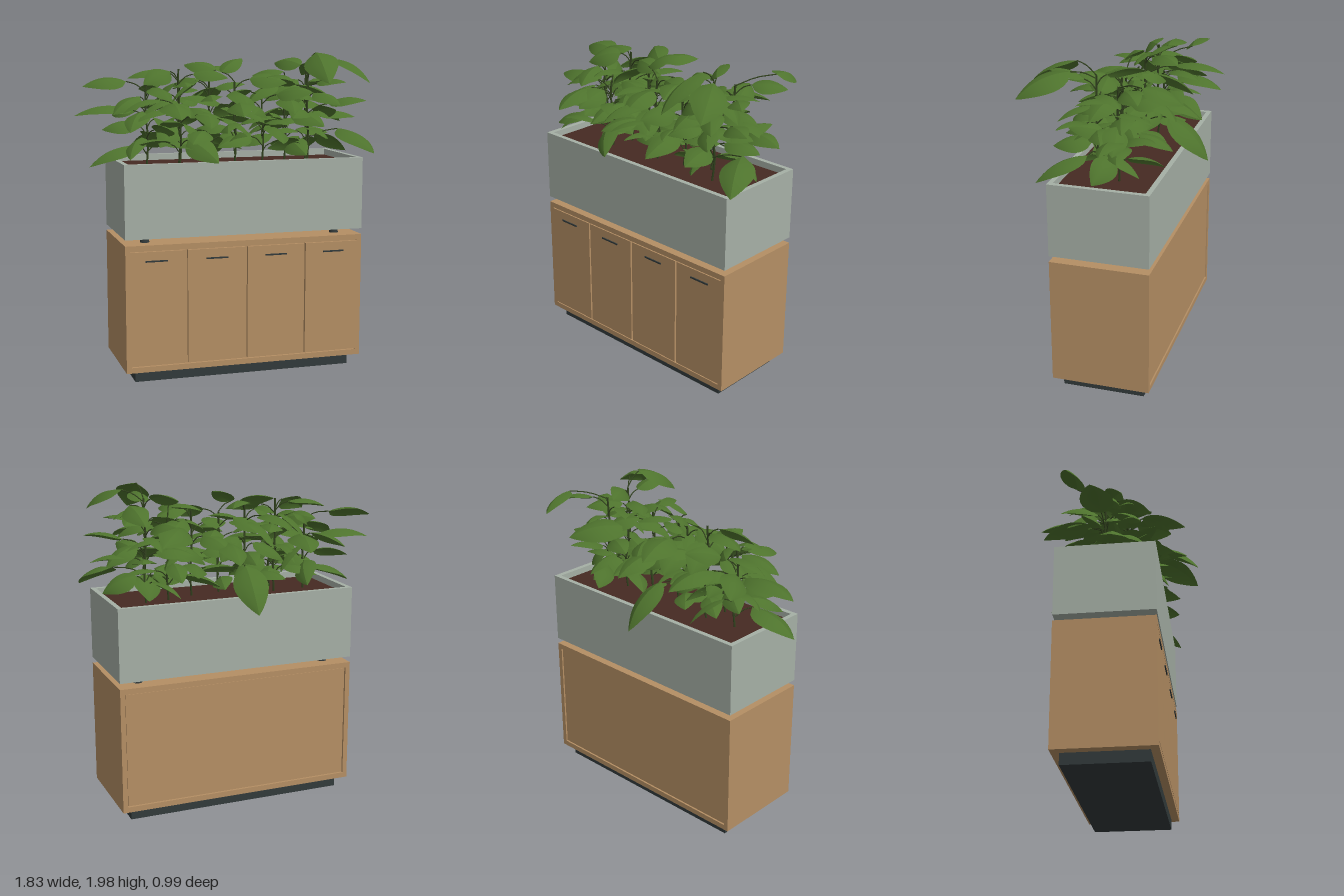
import * as THREE from 'three';
import { mergeGeometries } from 'three/addons/utils/BufferGeometryUtils.js';

const mat = (name, color, side = THREE.FrontSide) => {
  const m = new THREE.MeshStandardMaterial({ color, side });
  m.name = name;
  return m;
};
const V = (x, y, z) => new THREE.Vector3(x, y, z);

// Small seeded generator for the foliage
let seed = 11;
const rand = (a, b) => {
  seed = (seed * 16807) % 2147483647;
  return a + (b - a) * (seed / 2147483647);
};

// Arched ovate leaf with a ridge along the midrib; each half is its own strip
function leafGeometry(base, tip, widthRatio, roll) {
  const axis = tip.clone().sub(base);
  const len = axis.length();
  axis.normalize();
  const side = V(0, 1, 0).cross(axis).normalize().applyAxisAngle(axis, roll);
  const up = axis.clone().cross(side);
  const rows = 10, cols = 3, pos = [], idx = [];
  for (const s of [-1, 1]) {
    const start = pos.length / 3;
    for (let i = 0; i <= rows; i++) {
      const t = i / rows;
      const w = len * widthRatio * Math.pow(Math.sin(Math.PI * Math.pow(t, 0.75)), 0.85);
      const mid = base.clone().lerp(tip, t).addScaledVector(up, len * 0.5 * t * (1 - t));
      for (let j = 0; j <= cols; j++) {
        const u = j / cols;
        const p = mid.clone().addScaledVector(side, s * u * w).addScaledVector(up, -w * (0.2 * u + 0.2 * u * u));
        pos.push(p.x, p.y, p.z);
      }
    }
    for (let i = 0; i < rows; i++) for (let j = 0; j < cols; j++) {
      const a = start + i * (cols + 1) + j, b = a + cols + 1;
      if (s > 0) idx.push(a, b, a + 1, a + 1, b, b + 1);
      else idx.push(a, a + 1, b, a + 1, b + 1, b);
    }
  }
  const g = new THREE.BufferGeometry();
  g.setAttribute('position', new THREE.Float32BufferAttribute(pos, 3));
  g.setIndex(idx);
  g.computeVertexNormals();
  return g;
}

const tube = (points, r, n = 8) => new THREE.TubeGeometry(new THREE.CatmullRomCurve3(points), n, r, 5);

// Stems: x, z, top height
const STEMS = [
  [-0.48, -0.04, 1.78], [-0.27, -0.06, 1.88], [-0.3, 0.08, 1.72], [-0.08, -0.03, 1.86], [0.06, 0.05, 1.8],
  [0.25, 0.02, 1.82], [0.42, -0.04, 1.8], [0.53, 0.08, 1.9], [0.57, -0.06, 1.86],
];

// Outer leaves: base xyz, tip xyz
const OUTER = [
  [-0.56, 1.63, -0.05, -0.92, 1.60, -0.07], [-0.57, 1.80, -0.2, -0.84, 1.77, -0.23],
  [-0.55, 1.42, 0.03, -0.85, 1.30, 0.05], [-0.39, 1.66, -0.15, -0.33, 1.60, -0.45],
  [-0.12, 1.80, -0.2, -0.18, 1.75, -0.5], [-0.02, 1.50, -0.19, 0.0, 1.25, -0.45],
  [0.08, 1.64, -0.14, 0.11, 1.55, -0.42], [0.72, 1.91, -0.24, 0.69, 1.82, -0.46],
  [0.35, 1.74, -0.13, 0.57, 1.68, -0.39], [0.66, 1.58, -0.08, 0.91, 1.56, -0.05],
  [0.74, 1.50, 0.07, 0.88, 1.36, 0.33], [0.63, 1.94, 0.2, 0.78, 1.80, 0.47],
  [0.54, 1.98, 0.19, 0.51, 1.80, 0.49], [0.28, 1.52, 0.1, 0.27, 1.44, 0.37],
  [0.05, 1.68, 0.17, 0.0, 1.61, 0.44], [-0.15, 1.62, 0.12, -0.18, 1.54, 0.37],
  [-0.38, 1.68, 0.18, -0.38, 1.60, 0.45], [-0.42, 1.70, 0.08, -0.66, 1.62, 0.13],
  [-0.34, 1.86, -0.1, -0.58, 1.82, -0.13], [-0.03, 1.87, -0.06, -0.2, 1.90, -0.2],
  [-0.02, 1.86, 0.04, 0.14, 1.94, -0.05], [0.4, 1.86, 0.0, 0.22, 1.83, -0.1],
  [0.66, 1.66, 0.1, 0.88, 1.68, 0.2],
];

export function createModel() {
  const model = new THREE.Group();
  const wood = mat('oak wood', 0xb58f64);
  const dark = mat('dark metal', 0x323a3b);
  const stone = mat('grey green planter', 0xa6b0a6);
  const earth = mat('soil', 0x462a22);
  const green = mat('leaf green', 0x4e732d, THREE.DoubleSide);
  const stalk = mat('stem green', 0x33441f);
  const CX = 0.067, CZ = -0.011, W = 1.51, D = 0.602;

  const add = (name, geo, material, x = 0, y = 0, z = 0) => {
    const m = new THREE.Mesh(geo, material);
    m.name = name;
    m.position.set(x, y, z);
    model.add(m);
  };
  const box = (name, material, w, y0, y1, d, x = CX, z = CZ) =>
    add(name, new THREE.BoxGeometry(w, y1 - y0, d), material, x, (y0 + y1) / 2, z);

  // Cabinet carcass
  box('plinth', dark, 1.385, 0, 0.07, 0.505);
  box('bottomBoard', wood, W, 0.07, 0.104, D);
  box('topBoard', wood, W, 0.816, 0.85, D);
  box('core', wood, W - 0.06, 0.104, 0.816, D - 0.04);
  for (const s of [-1, 1]) box('sidePanel', wood, 0.03, 0.104, 0.816, D, CX + s * (W / 2 - 0.015));
  box('backPanel', wood, W - 0.068, 0.108, 0.812, 0.014, CX, CZ - D / 2 + 0.014);

  // Four doors between the side panels, with slim handles
  const pitch = W / 4, half = W / 2 - 0.03;
  for (let i = 0; i < 4; i++) {
    const x0 = Math.max(-half, (i - 2) * pitch + 0.006), x1 = Math.min(half, (i - 1) * pitch - 0.006);
    box('door', wood, x1 - x0, 0.11, 0.81, 0.02, CX + (x0 + x1) / 2, CZ + D / 2 - 0.01);
    box('handle', dark, 0.135, 0.748, 0.757, 0.008, CX + (i - 1.5) * pitch, CZ + D / 2 + 0.003);
  }

  // Planter feet
  for (const x of [-0.545, 0.68]) for (const z of [-0.2, 0.175])
    add('foot', new THREE.CylinderGeometry(0.024, 0.029, 0.042, 20), dark, x, 0.87, z);

  // Planter box with open top
  const rect = (Type, w, h) => new Type().moveTo(-w / 2, -h / 2).lineTo(w / 2, -h / 2).lineTo(w / 2, h / 2).lineTo(-w / 2, h / 2).closePath();
  const rim = rect(THREE.Shape, W, D);
  rim.holes.push(rect(THREE.Path, W - 0.06, D - 0.06));
  const walls = new THREE.ExtrudeGeometry(rim, { depth: 0.447, bevelEnabled: false }).rotateX(-Math.PI / 2);
  add('planterWalls', walls, stone, CX, 0.887, CZ);
  box('planterFloor', stone, W - 0.06, 0.887, 0.92, D - 0.06);
  box('soil', earth, W - 0.06, 0.92, 1.295, D - 0.06);

  // Foliage
  const leaves = [], stems = [];
  const addLeaf = (stem, base, tip, width, roll) => {
    leaves.push(leafGeometry(base, tip, width, roll));
    const y = Math.max(1.32, Math.min(stem[2], base.y - 0.06));
    const from = V(stem[0], y, stem[1]);
    const mid = from.clone().lerp(base, 0.5).add(V(0, 0.015, 0));
    stems.push(tube([from, mid, base], 0.0035, 5));
  };
  for (const o of OUTER) {
    const base = V(o[0], o[1], o[2]);
    const dist = (s) => Math.hypot(s[0] - o[0], s[1] - o[2]);
    const near = STEMS.reduce((a, b) => (dist(b) < dist(a) ? b : a));
    addLeaf(near, base, V(o[3], o[4], o[5]), rand(0.28, 0.33), rand(-0.5, 0.5));
  }
  STEMS.forEach((s, k) => {
    const [x, z, top] = s;
    stems.push(tube([V(x, 1.28, z), V(x + 0.012, 1.45, z - 0.008), V(x - 0.006, 1.62, z + 0.008), V(x, top, z)], 0.0065));
    const count = 12;
    for (let i = 0; i < count; i++) {
      const a = k * 1.3 + i * 2.4 + rand(-0.3, 0.3);
      const y = 1.42 + (top - 1.42) * (i / (count - 1)) + rand(-0.02, 0.02);
      const r = rand(0.03, 0.1), len = rand(0.19, 0.25);
      const dir = V(Math.cos(a), 0, Math.sin(a));
      const base = V(x, y, z).addScaledVector(dir, r);
      const tip = base.clone().addScaledVector(dir, len);
      tip.y = Math.max(1.33, tip.y - rand(-0.04, 0.14));
      addLeaf(s, base, tip, rand(0.28, 0.34), rand(-0.7, 0.7));
    }
  });
  add('leaves', mergeGeometries(leaves), green);
  add('stems', mergeGeometries(stems), stalk);
  return model;
}
